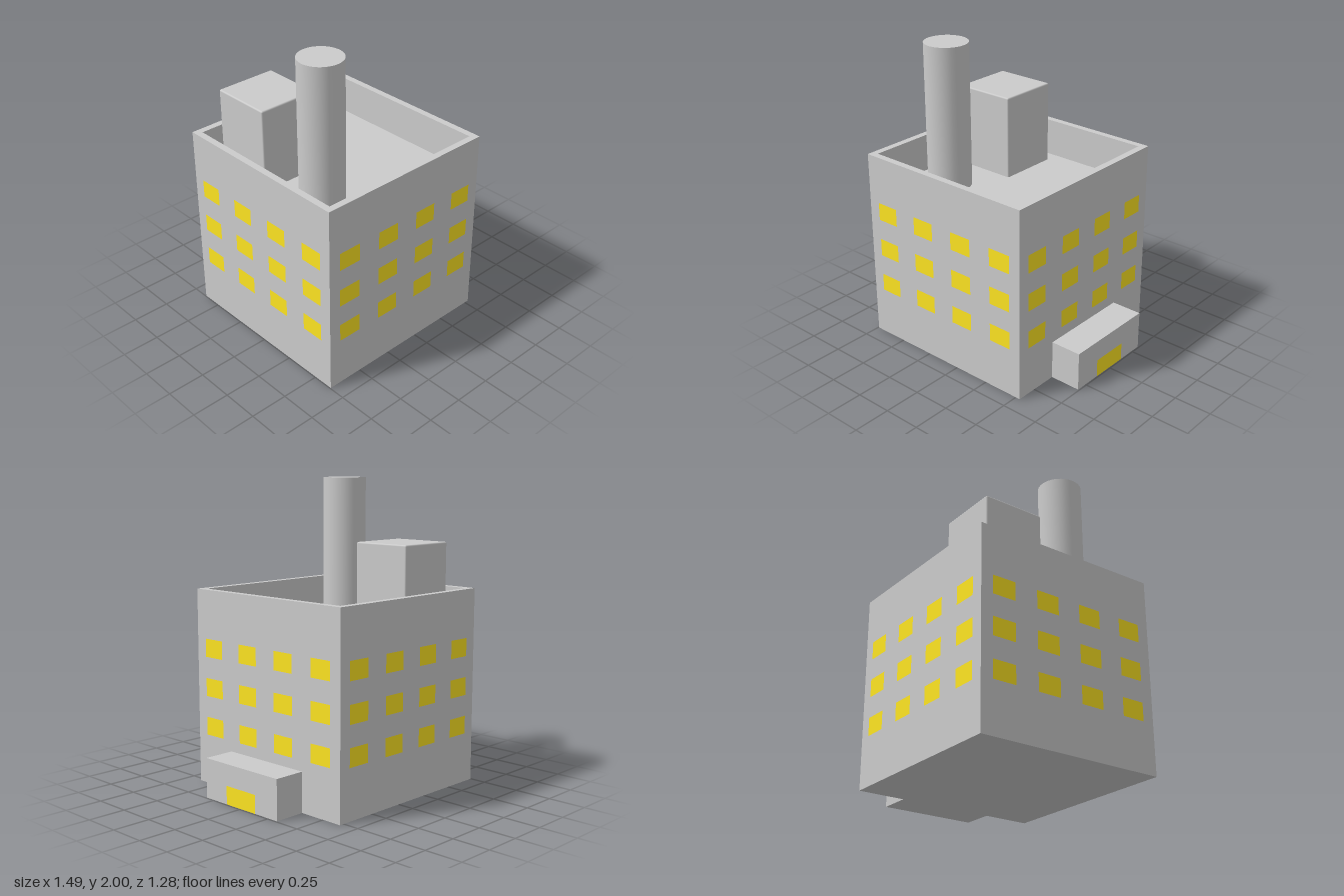
import * as THREE from 'three';
import { RoundedBoxGeometry } from 'three/addons/geometries/RoundedBoxGeometry.js';

const CX = -0.107;      // centre of the main block along x
const HALF = 0.638;     // half width of the main block
const INNER = 0.593;    // half width inside the parapet
const WALL_TOP = 1.29;
const ROOF = 1.04;

export function createModel() {
  const model = new THREE.Group();
  const grey = new THREE.MeshStandardMaterial({ color: 0xcccccc });
  const yellow = new THREE.MeshStandardMaterial({ color: 0xffe622 });

  const add = (name, geometry, material, x, y, z, parent = model) => {
    const mesh = new THREE.Mesh(geometry, material);
    mesh.name = name;
    mesh.position.set(x, y, z);
    parent.add(mesh);
    return mesh;
  };

  // Main block with sunken roof: a four-sided lathe, profile from base to roof centre
  const profile = [[0, 0], [HALF, 0], [HALF, WALL_TOP], [INNER, WALL_TOP], [INNER, ROOF], [0, ROOF]]
    .map(([half, y]) => new THREE.Vector2(half * Math.SQRT2, y));
  const block = new THREE.LatheGeometry(profile, 4, Math.PI / 4).toNonIndexed();
  block.computeVertexNormals();
  add('mainBlock', block, grey, CX, 0, 0);

  // Entrance annex on the left wall, with its door
  add('annex', new THREE.BoxGeometry(0.21, 0.26, 0.645), grey, 0.636, 0.13, 0);
  add('door', new THREE.PlaneGeometry(0.26, 0.12), yellow, 0.742, 0.06, 0).rotation.y = Math.PI / 2;

  // Chimney and stair house standing on the roof
  add('chimney', new THREE.CylinderGeometry(0.143, 0.143, 2 - ROOF, 32), grey, -0.425, (2 + ROOF) / 2, 0.225);
  add('roofHouse', new RoundedBoxGeometry(0.414, 0.57, 0.414, 2, 0.01), grey, -0.405, 1.307, -0.3);

  // Three rows of four windows on every wall
  const pane = new THREE.PlaneGeometry(0.16, 0.12);
  for (let side = 0; side < 4; side++) {
    const wall = new THREE.Group();
    wall.name = 'windows' + ['Front', 'Left', 'Back', 'Right'][side];
    wall.position.x = CX;
    wall.rotation.y = side * Math.PI / 2;
    for (let row = 0; row < 3; row++) {
      for (let col = 0; col < 4; col++) {
        add('window', pane, yellow, (col - 1.5) * 0.319, 0.39 + row * 0.26, HALF + 0.002, wall);
      }
    }
    model.add(wall);
  }
  return model;
}
